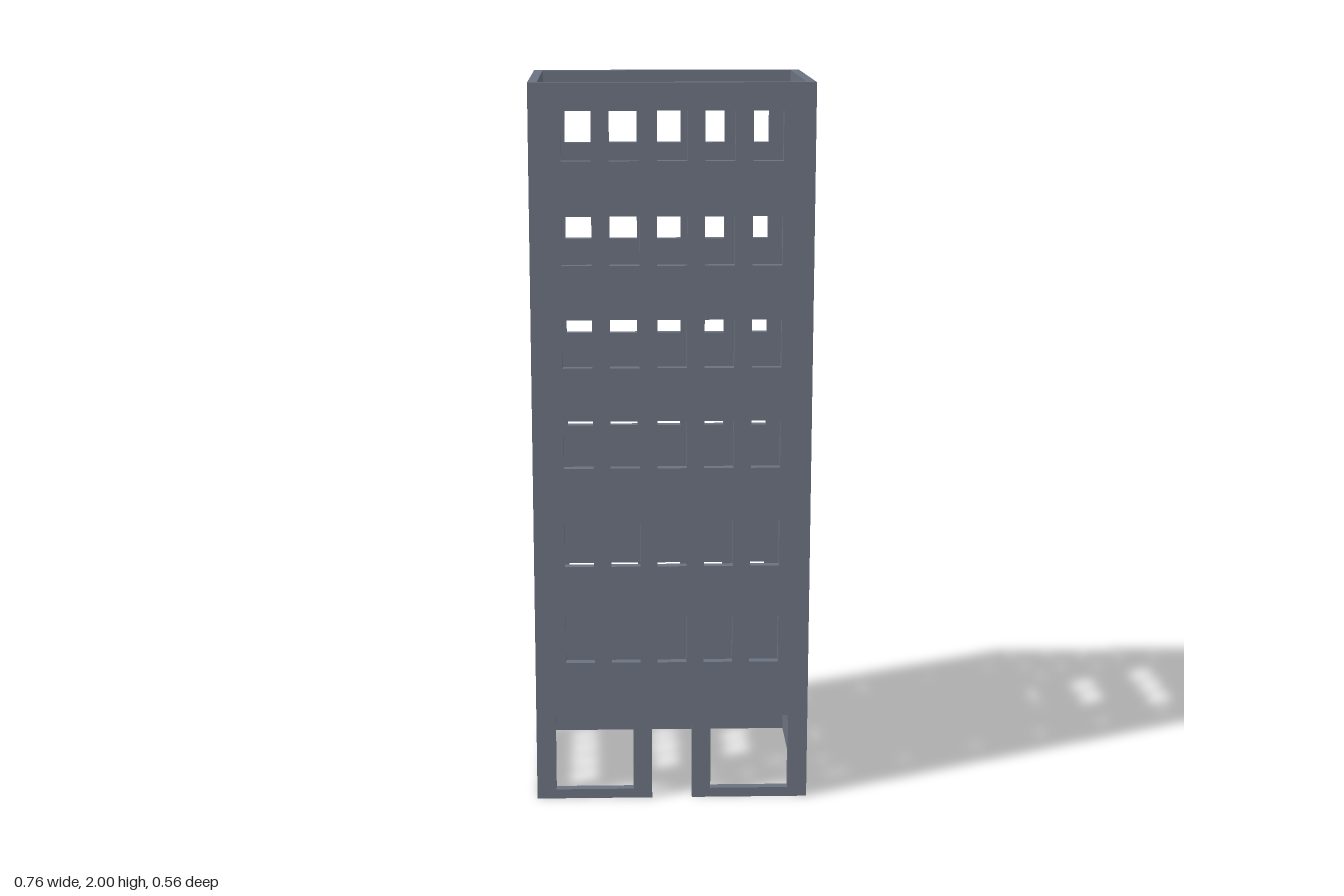
import * as THREE from 'three';

const HALF_X = 0.38, HALF_Z = 0.278, HEIGHT = 2, WALL = 0.025;
const WINDOW_H = 0.132;
const UPPER_ROWS = [0, 1, 2, 3, 4, 5].map((i) => 0.402 + i * 0.2785);
const GROUND_ROW = 0.087;

// Rectangular opening
function hole(x0, x1, y0, y1) {
  const p = new THREE.Path();
  p.moveTo(x0, y0);
  p.lineTo(x0, y1);
  p.lineTo(x1, y1);
  p.lineTo(x1, y0);
  p.closePath();
  return p;
}

// Grid of windows, centred on the wall
function windows(rows, count, spacing, width) {
  const holes = [];
  for (const y of rows) {
    for (let i = 0; i < count; i++) {
      const x = (i - (count - 1) / 2) * spacing;
      holes.push(hole(x - width / 2, x + width / 2, y, y + WINDOW_H));
    }
  }
  return holes;
}

// Upright wall slab; its outer face lies at z = 0; an optional doorway cuts the lower edge
function wallGeometry(halfWidth, holes, door) {
  const s = new THREE.Shape();
  s.moveTo(-halfWidth, 0);
  if (door) {
    s.lineTo(-door.half, 0);
    s.lineTo(-door.half, door.height);
    s.lineTo(door.half, door.height);
    s.lineTo(door.half, 0);
  }
  s.lineTo(halfWidth, 0);
  s.lineTo(halfWidth, HEIGHT);
  s.lineTo(-halfWidth, HEIGHT);
  s.closePath();
  s.holes.push(...holes);
  const g = new THREE.ExtrudeGeometry(s, { depth: WALL, bevelEnabled: false });
  return g.translate(0, 0, -WALL);
}

export function createModel() {
  const building = new THREE.Group();
  building.name = 'officeTower';
  const concrete = new THREE.MeshStandardMaterial({ color: 0x6b7280 });
  concrete.name = 'greyConcrete';

  const addWall = (name, geometry, angle, distance) => {
    const wall = new THREE.Mesh(geometry, concrete);
    wall.name = name;
    wall.rotation.y = angle;
    wall.position.set(Math.sin(angle) * distance, 0, Math.cos(angle) * distance);
    building.add(wall);
  };

  const allRows = [GROUND_ROW, ...UPPER_ROWS];

  // Front: two shop windows and a doorway on the ground floor
  const frontHoles = windows(UPPER_ROWS, 5, 0.1275, 0.08);
  frontHoles.push(hole(-0.326, -0.108, 0.027, 0.243), hole(0.108, 0.326, 0.027, 0.243));
  addWall('frontWall', wallGeometry(HALF_X, frontHoles, { half: 0.056, height: 0.22 }), 0, HALF_Z);

  // Back: windows on every floor
  addWall('backWall', wallGeometry(HALF_X, windows(allRows, 5, 0.1275, 0.08)), Math.PI, HALF_Z);

  // Sides fit between the front and back walls
  const side = wallGeometry(HALF_Z - WALL, windows(allRows, 4, 0.109, 0.079));
  addWall('leftWall', side, Math.PI / 2, HALF_X);
  addWall('rightWall', side, -Math.PI / 2, HALF_X);

  return building;
}
